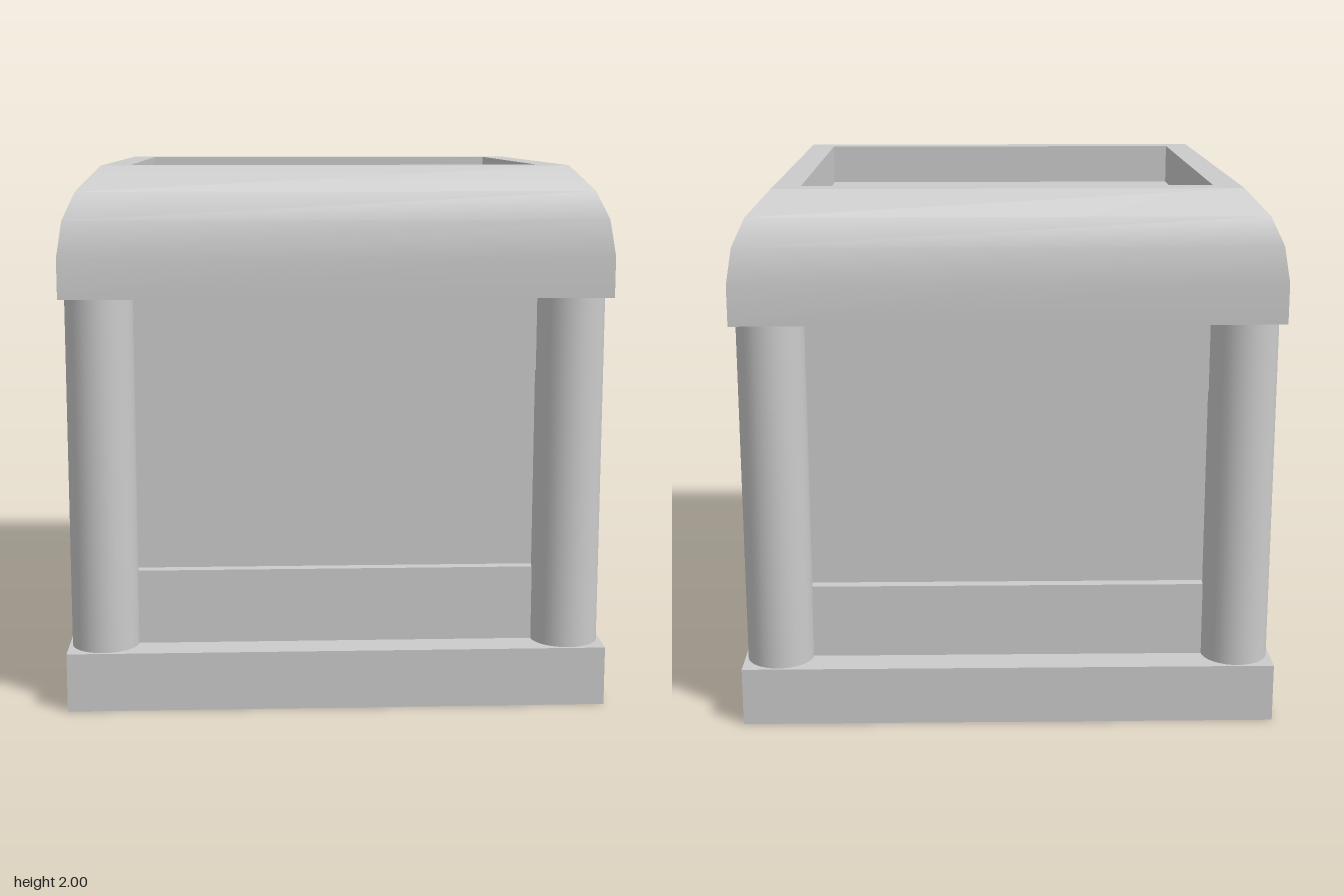
import * as THREE from 'three';

const material = new THREE.MeshStandardMaterial({ color: 0xcccccc });

function add(group, name, geometry, x = 0, y = 0, z = 0) {
  const mesh = new THREE.Mesh(geometry, material);
  mesh.name = name;
  mesh.position.set(x, y, z);
  group.add(mesh);
  return mesh;
}

// Square block standing between two heights
function block(group, name, half, y0, y1) {
  return add(group, name, new THREE.BoxGeometry(half * 2, y1 - y0, half * 2), 0, (y0 + y1) / 2, 0);
}

// One mitred side of a square moulding, swept from [half width, height] points
function mitredSide(profile) {
  const positions = [], index = [];
  profile.forEach(([h, y], i) => {
    positions.push(-h, y, h, h, y, h);
    if (i > 0) {
      const a = (i - 1) * 2;
      index.push(a, a + 1, a + 3, a, a + 3, a + 2);
    }
  });
  const geometry = new THREE.BufferGeometry();
  geometry.setAttribute('position', new THREE.Float32BufferAttribute(positions, 3));
  geometry.setIndex(index);
  geometry.computeVertexNormals();
  return geometry;
}

export function createModel() {
  const model = new THREE.Group();
  model.name = 'pedestalBox';

  // Base and body: recessed panels between two proud bands
  block(model, 'base', 1, 0, 0.22);
  block(model, 'lowerBand', 0.87, 0.22, 0.5);
  block(model, 'panels', 0.825, 0.5, 1.25);
  block(model, 'upperBand', 0.87, 1.25, 1.53);

  // Corner columns
  const column = new THREE.CylinderGeometry(0.125, 0.125, 1.31, 32);
  for (const sx of [-1, 1]) {
    for (const sz of [-1, 1]) {
      const name = (sz > 0 ? 'front' : 'back') + (sx > 0 ? 'Left' : 'Right') + 'Column';
      add(model, name, column, sx * 0.865, 0.875, sz * 0.865);
    }
  }

  // Cap: rounded sides, flat rim and a sunken square tray
  const cap = new THREE.Group();
  cap.name = 'cap';
  model.add(cap);
  const strips = {
    capUnderside: [[0, 1.53], [1, 1.53]],
    capSide: [[1, 1.53], [1, 1.68], [0.98, 1.81], [0.935, 1.91], [0.85, 2]],
    capRim: [[0.85, 2], [0.75, 2]],
    trayWall: [[0.75, 2], [0.75, 1.84]],
    trayFloor: [[0.75, 1.84], [0, 1.84]],
  };
  for (const [name, profile] of Object.entries(strips)) {
    const geometry = mitredSide(profile);
    for (let i = 0; i < 4; i++) {
      add(cap, name, geometry).rotation.y = i * Math.PI / 2;
    }
  }

  return model;
}
